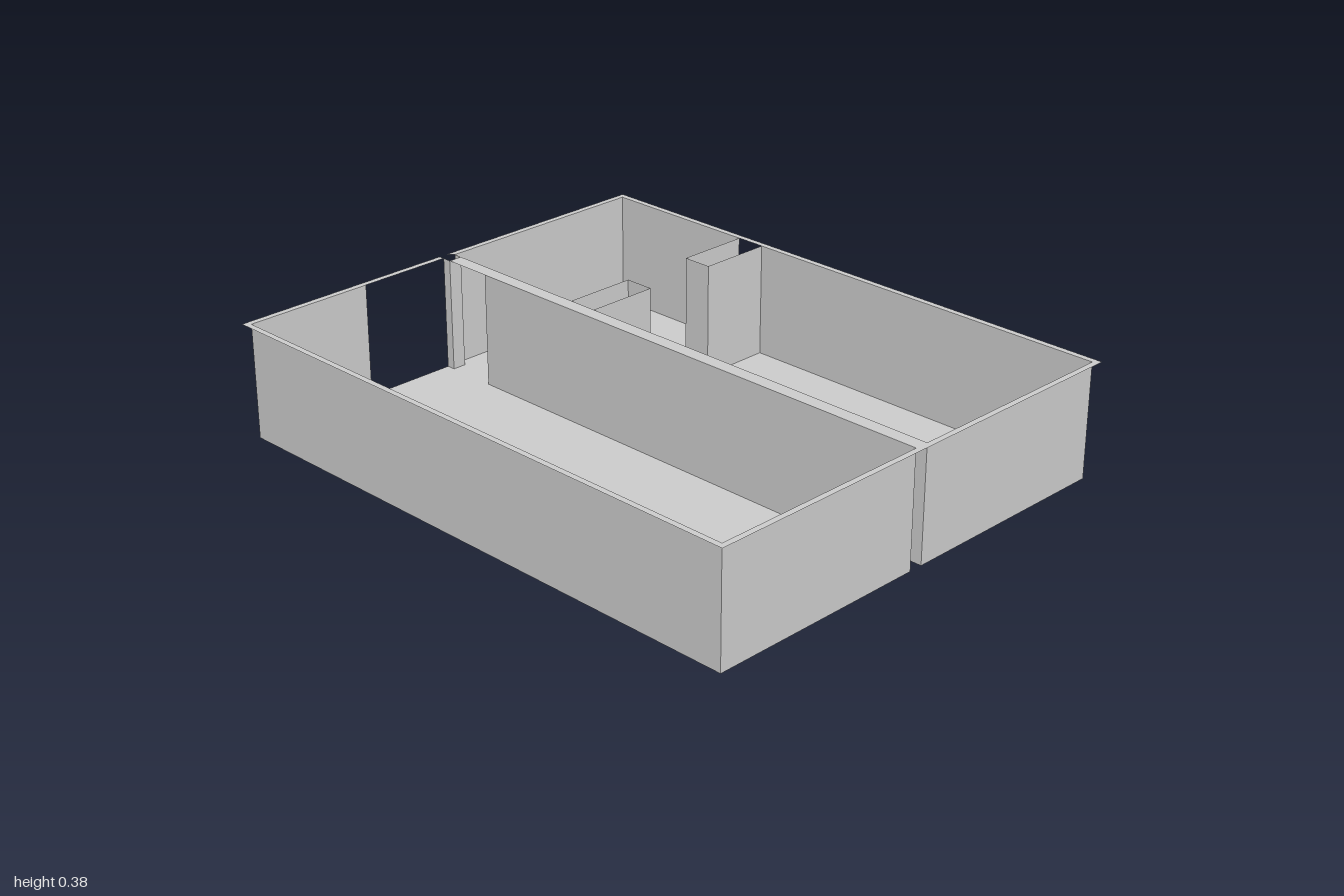
import * as THREE from 'three';

const H = 0.38; // wall height

export function createModel() {
  const model = new THREE.Group();
  model.name = 'twoRoomFloorPlan';
  const mat = new THREE.MeshStandardMaterial({ color: 0xcccccc, side: THREE.DoubleSide, flatShading: true });

  const add = (parent, name, geometry) => {
    const mesh = new THREE.Mesh(geometry, mat);
    mesh.name = name;
    parent.add(mesh);
    return mesh;
  };
  const group = (name) => {
    const g = new THREE.Group();
    g.name = name;
    model.add(g);
    return g;
  };
  // Horizontal sheet facing up, from [x, z] corners
  const sheet = (points, y) => {
    const shape = new THREE.Shape(points.map(([x, z]) => new THREE.Vector2(x, -z)));
    return new THREE.ShapeGeometry(shape).rotateX(-Math.PI / 2).translate(0, y, 0);
  };

  // Inner outline of both rooms, as [x, z], running round the wall faces
  const outline = [
    [0.98, 0.78], [0.98, 0.022],                                     // front room, left side
    [-0.78, 0.022], [-0.78, -0.025],                                 // divider and doorway jamb
    [-0.43, -0.025], [-0.43, -0.27], [-0.33, -0.27], [-0.33, -0.025], // inner partition stub
    [0.98, -0.025], [0.98, -0.78],                                   // back room, left side
    [-0.33, -0.78], [-0.33, -0.53], [-0.43, -0.53], [-0.43, -0.78],   // outer partition stub
    [-0.98, -0.78], [-0.98, -0.025],                                 // back room, right side
    [-0.95, -0.025], [-0.95, 0.022], [-0.98, 0.022],                 // other doorway jamb
    [-0.98, 0.34], [-0.98, 0.78],                                    // entrance opening, then wall
  ];
  const entrance = 18; // outline edge left open

  add(model, 'floor', sheet(outline, 0));

  // One upright panel for each outline edge
  const walls = group('walls');
  outline.forEach(([x1, z1], i) => {
    if (i === entrance) return;
    const [x2, z2] = outline[(i + 1) % outline.length];
    const panel = add(walls, 'wallPanel', new THREE.PlaneGeometry(Math.hypot(x2 - x1, z2 - z1), H));
    panel.position.set((x1 + x2) / 2, H / 2, (z1 + z2) / 2);
    panel.rotation.y = Math.atan2(z1 - z2, x2 - x1);
  });

  // Flat coping round the wall tops, carried across the openings
  const coping = group('coping');
  const strip = (name, x1, x2, z1, z2) =>
    add(coping, name, sheet([[x1, z1], [x1, z2], [x2, z2], [x2, z1]], H));
  strip('frontCoping', -1, 1, 0.78, 0.8);
  strip('backCoping', -1, 1, -0.8, -0.78);
  strip('leftCoping', 0.98, 1, -0.78, 0.78);
  strip('rightFrontCoping', -1, -0.98, 0.022, 0.78);
  add(coping, 'rightBackCoping', sheet([[-1, -0.78], [-1, -0.008], [-0.98, -0.025], [-0.98, -0.78]], H));
  strip('dividerCoping', -0.95, 0.98, -0.025, 0.022);

  return model;
}
